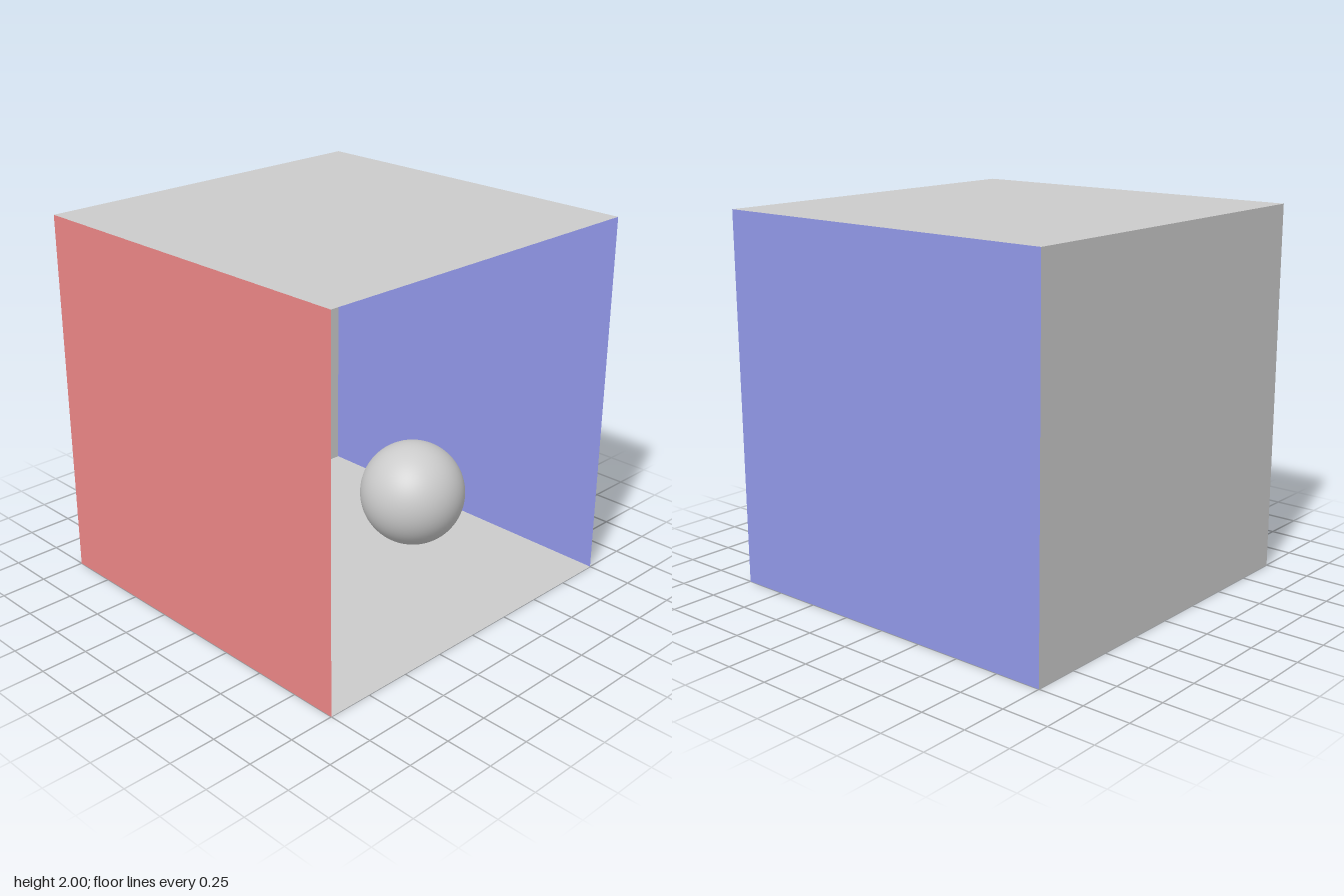
import * as THREE from 'three';

export function createModel() {
  const model = new THREE.Group();
  const material = (color) => new THREE.MeshStandardMaterial({ color, side: THREE.DoubleSide });
  const grey = material(0xcccccc);
  const red = material(0xeb8686);
  const blue = material(0x9097e7);

  const add = (name, geometry, mat, position, rotation = [0, 0, 0]) => {
    const mesh = new THREE.Mesh(geometry, mat);
    mesh.name = name;
    mesh.position.set(...position);
    mesh.rotation.set(...rotation);
    model.add(mesh);
  };

  // Open-fronted room: five thin panels facing inwards
  const panel = new THREE.PlaneGeometry(2, 2);
  const q = Math.PI / 2;
  add('floor', panel, grey, [0, 0, 0], [-q, 0, 0]);
  add('ceiling', panel, grey, [0, 2, 0], [q, 0, 0]);
  add('backWall', panel, grey, [0, 1, -1]);
  add('leftWall', panel, blue, [1, 1, 0], [0, -q, 0]);
  add('rightWall', panel, red, [-1, 1, 0], [0, q, 0]);

  // Two balls resting on the floor
  const ball = new THREE.SphereGeometry(0.298, 64, 40);
  add('rearBall', ball, grey, [-0.49, 0.302, -0.35]);
  add('frontBall', ball, grey, [0.524, 0.302, 0.09]);

  return model;
}
